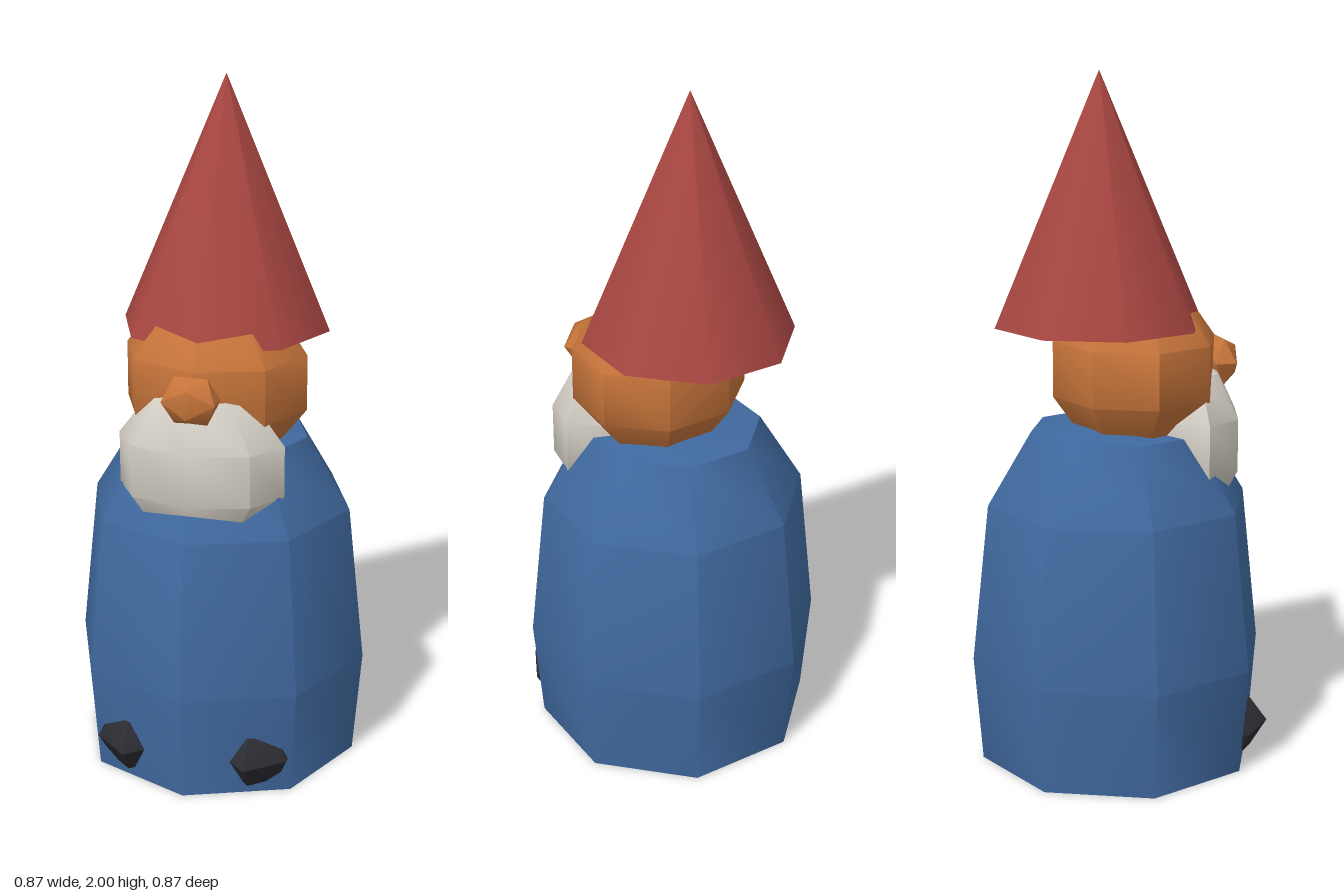
import * as THREE from 'three';
import { toCreasedNormals } from 'three/addons/utils/BufferGeometryUtils.js';

function material(name, color, side = THREE.FrontSide) {
  const m = new THREE.MeshStandardMaterial({ color, side });
  m.name = name;
  return m;
}

export function createModel() {
  const blue = material('coatBlue', 0x40699f, THREE.DoubleSide);
  const red = material('hatRed', 0xa84641);
  const skin = material('skinOrange', 0xc6743a);
  const white = material('beardWhite', 0xd2cdc3);
  const black = material('bootBlack', 0x2c2c33);

  const group = new THREE.Group();
  group.name = 'gardenGnome';

  // Smooth low-poly shading, with only the steep edges kept sharp
  function add(name, geometry, mat, x, y, z) {
    const mesh = new THREE.Mesh(toCreasedNormals(geometry, 0.8), mat);
    mesh.name = name;
    mesh.position.set(x, y, z);
    group.add(mesh);
  }

  // Low-poly ellipsoid with one edge of vertices facing the front
  function ellipsoid(rx, ry, rz, sides, rows) {
    const start = Math.PI / 2 - (Math.PI * 2 / sides);
    return new THREE.SphereGeometry(1, sides, rows, start).scale(rx, ry, rz);
  }

  // Eight-sided coat, open underneath
  const profile = [[0.41, 0], [0.435, 0.31], [0.385, 0.77], [0.257, 0.98], [0.14, 1.0], [0, 1.0]]
    .map(([r, y]) => new THREE.Vector2(r, y));
  add('coat', new THREE.LatheGeometry(profile, 8), blue, 0, 0, 0);

  // Head, beard and nose
  add('head', ellipsoid(0.279, 0.26, 0.253, 8, 5), skin, 0, 1.16, 0.05);
  add('beard', ellipsoid(0.253, 0.245, 0.158, 8, 5), white, 0, 0.945, 0.205);
  add('nose', new THREE.IcosahedronGeometry(1, 0).scale(0.09, 0.078, 0.058), skin, 0, 1.165, 0.306);

  // Pointed hat, set slightly back
  add('hat', new THREE.ConeGeometry(0.305, 0.715, 8), red, 0, 1.6425, -0.053);

  // Boots poking through the coat hem
  for (const side of [1, -1]) {
    add(side > 0 ? 'leftBoot' : 'rightBoot', ellipsoid(0.12, 0.105, 0.18, 6, 4), black, side * 0.18, 0.105, 0.23);
  }
  return group;
}
